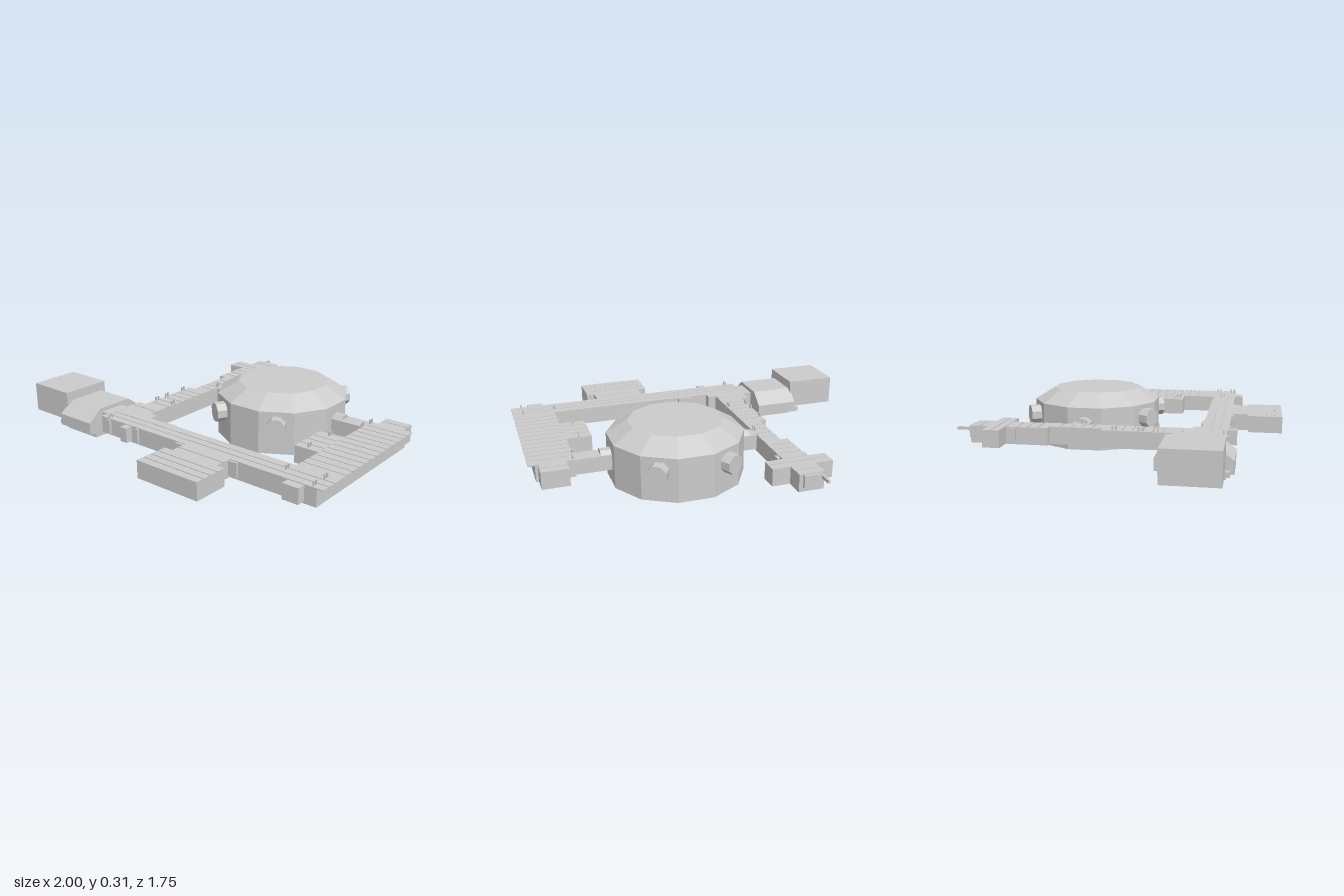
import * as THREE from 'three';

export function createModel() {
  const model = new THREE.Group();
  const mat = new THREE.MeshStandardMaterial({ color: 0xcccccc, flatShading: true });

  const add = (name, geo, parent = model) => {
    const m = new THREE.Mesh(geo, mat);
    m.name = name;
    parent.add(m);
    return m;
  };
  // box given by its limits on each axis
  const box = (name, x0, x1, y0, y1, z0, z1, parent = model) => {
    const m = add(name, new THREE.BoxGeometry(x1 - x0, y1 - y0, z1 - z0), parent);
    m.position.set((x0 + x1) / 2, (y0 + y1) / 2, (z0 + z1) / 2);
    return m;
  };

  const BOTTOM = 0.075, TOP = 0.17;
  // solid pier section topped by crosswise planks with narrow gaps
  const deck = (name, x0, x1, z0, z1, overhang = 0) => {
    const g = new THREE.Group();
    g.name = name;
    box('pierBody', x0, x1 - overhang, BOTTOM, TOP - 0.005, z0, z1, g);
    const n = Math.max(1, Math.round((z1 - z0) / 0.055));
    const pitch = (z1 - z0) / n;
    for (let i = 0; i < n; i++) {
      const a = z0 + i * pitch;
      box('plank', x0, x1, TOP - 0.005, TOP, a + (i ? 0.006 : 0), a + pitch, g);
    }
    model.add(g);
  };

  // twelve-sided domed hall
  const hall = new THREE.Group();
  hall.name = 'domedHall';
  hall.position.set(0.212, 0, -0.223);
  model.add(hall);
  const k = Math.cos(Math.PI / 12);
  const profile = [[0, 0], [0.358 / k, 0], [0.358 / k, 0.24], [0.246 / k, 0.31], [0, 0.31]]
    .map(([r, y]) => new THREE.Vector2(r, y));
  add('dome', new THREE.LatheGeometry(profile, 12, Math.PI / 12), hall);

  // octagonal stubs around the hall; the two on the x axis meet the piers
  for (let i = 0; i < 6; i++) {
    const a = (i * Math.PI) / 3;
    const stub = add('portStub', new THREE.CylinderGeometry(0.055, 0.055, 0.13, 8), hall);
    stub.geometry.rotateY(Math.PI / 8).rotateZ(-Math.PI / 2);
    stub.position.set(Math.cos(a) * 0.35, 0.165, Math.sin(a) * 0.35);
    stub.rotation.y = -a;
    if (i % 3 === 0) stub.scale.set(1, 0.85, 0.85), stub.position.y = 0.145;
  }
  box('leftGangway', 0.55, 0.77, 0.085, 0.168, -0.27, -0.178);
  box('rightGangway', -0.25, -0.13, 0.085, 0.168, -0.27, -0.178);

  // piers: right arm
  deck('rightArmBack', -0.38, -0.243, -0.60, -0.37);
  deck('rightArmMiddle', -0.34, -0.243, -0.37, -0.08);
  deck('rightArmFront', -0.38, -0.243, -0.08, 0.30);
  deck('rightArmFoot', -0.43, -0.243, 0.30, 0.39);
  deck('armCross', -0.48, -0.145, -0.70, -0.605);
  deck('armTip', -0.38, -0.243, -0.80, -0.70);
  box('armCollar', -0.395, -0.225, 0.085, 0.165, -0.575, -0.545);
  box('tipPlate', -0.36, -0.265, 0.1, 0.165, -0.815, -0.80);
  box('tipRod', -0.37, -0.357, 0.142, 0.158, -0.88, -0.80);

  // piers: front beam, its bay and end blocks
  deck('beamCorner', -0.43, -0.195, 0.39, 0.44);
  deck('frontBeam', -0.43, 1.0, 0.44, 0.583, 0.035);
  deck('frontNeck', 0.19, 0.475, 0.583, 0.677);
  deck('frontBay', 0.14, 0.52, 0.677, 0.87);
  box('beamJoint', -0.50, -0.43, BOTTOM, 0.168, 0.39, 0.535);

  // piers: left side deck
  deck('leftDeck', 0.76, 1.0, -0.27, 0.44, 0.035);
  deck('leftDeckTab', 0.805, 0.95, -0.365, -0.27);
  deck('innerBay', 0.62, 0.76, 0.015, 0.25);

  // fenders along the beam
  for (const [x0, x1, z0, z1] of [
    [-0.24, -0.195, 0.58, 0.625], [0.81, 0.90, 0.58, 0.628], [-0.10, -0.01, 0.425, 0.445],
    [-0.37, -0.355, 0.58, 0.598], [-0.155, -0.14, 0.58, 0.598],
    [0.135, 0.19, 0.58, 0.595], [0.475, 0.525, 0.58, 0.595],
  ]) box('fender', x0, x1, 0.085, 0.166, z0, z1);

  // paired mooring posts on the deck edges
  for (const [x, z] of [
    [-0.37, -0.01], [-0.37, 0.13], [-0.37, 0.21], [-0.255, -0.2], [-0.255, 0.2],
    [0.69, 0.03], [0.69, 0.22], [0.76, -0.18], [0.77, -0.25], [0.94, 0.47], [0.94, 0.56],
    [0.75, 0.5], [-0.37, 0.57],
  ]) for (const s of [-1, 1]) {
    box('mooringPost', x - 0.004, x + 0.004, TOP, 0.193, z + s * 0.01 - 0.004, z + s * 0.01 + 0.004);
  }

  // end block and the chamfered house beside it
  box('endBlock', -1.0, -0.715, BOTTOM, 0.24, 0.305, 0.587);
  const s = new THREE.Shape([
    [0.25, 0.06], [0.63, 0.06], [0.63, 0.125], [0.545, 0.19], [0.335, 0.19], [0.25, 0.125],
  ].map(([z, y]) => new THREE.Vector2(-z, y)));
  const house = add('chamferedHouse', new THREE.ExtrudeGeometry(s, { depth: 0.245, bevelEnabled: false }));
  house.rotation.y = Math.PI / 2;
  house.position.x = -0.725;
  box('housePlate', -0.76, -0.48, 0.053, 0.08, 0.27, 0.61);
  for (const z of [0.31, 0.5]) box('houseSkid', -0.715, -0.48, 0.03, 0.06, z, z + 0.09);

  return model;
}
